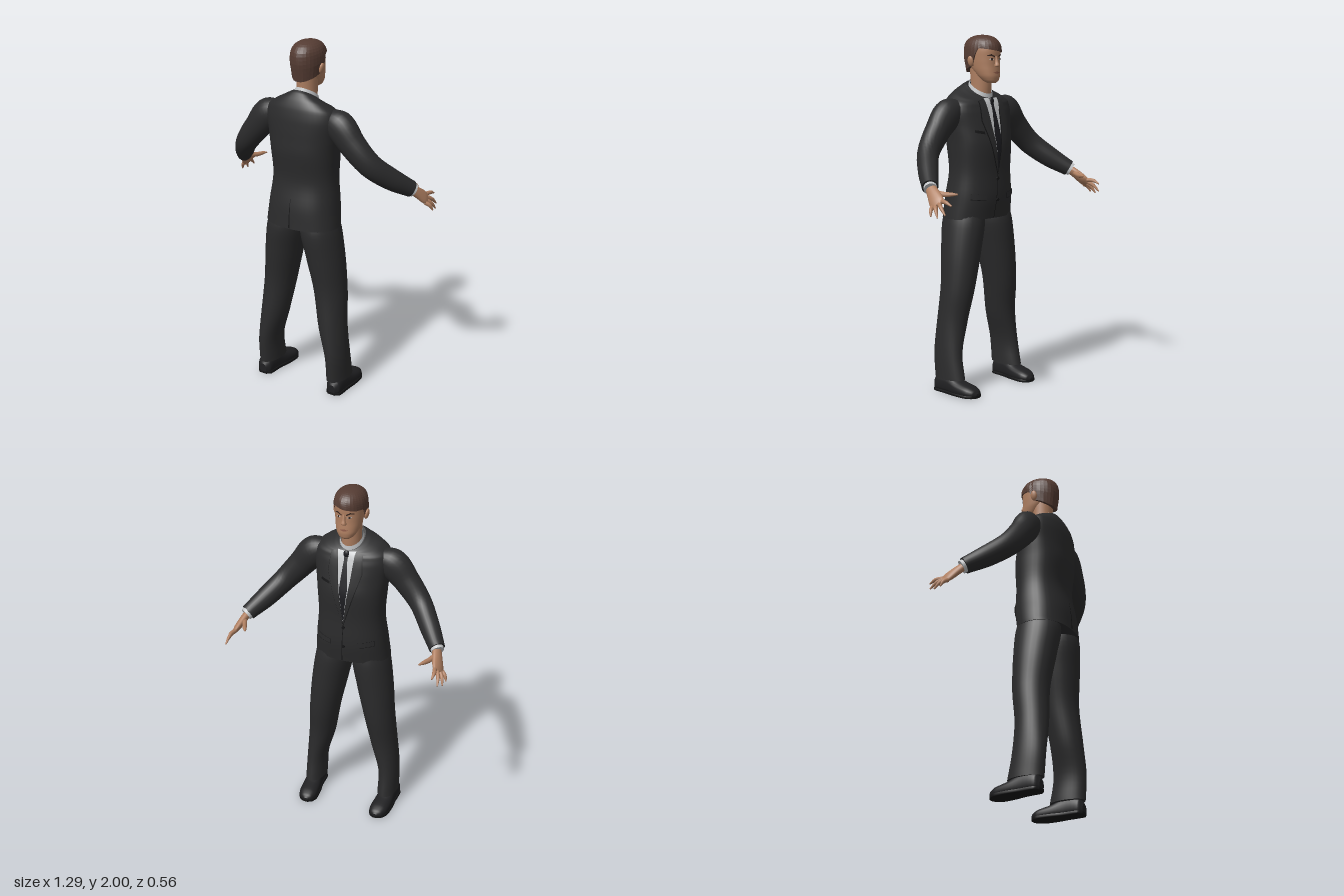
import * as THREE from 'three';

const V = (x, y, z) => new THREE.Vector3(x, y, z);
const mat = (name, color, extra = {}) => Object.assign(new THREE.MeshStandardMaterial({ color, ...extra }), { name });

// Closed skin through rings given by fn(angle, t); optional flat end caps
function skin(fn, seg, rows, caps = true) {
  const pos = [], idx = [];
  for (let i = 0; i <= rows; i++)
    for (let j = 0; j < seg; j++) pos.push(...fn((j / seg) * Math.PI * 2, i / rows).toArray());
  for (let i = 0; i < rows; i++)
    for (let j = 0; j < seg; j++) {
      const a = i * seg + j, b = i * seg + ((j + 1) % seg);
      idx.push(a, b, a + seg, b, b + seg, a + seg);
    }
  if (caps) for (const end of [0, 1]) {
    const start = pos.length / 3, c = V(0, 0, 0);
    for (let j = 0; j < seg; j++) {
      const p = fn((j / seg) * Math.PI * 2, end);
      c.addScaledVector(p, 1 / seg);
      pos.push(...p.toArray());
    }
    pos.push(...c.toArray());
    for (let j = 0; j < seg; j++) {
      const a = start + j, b = start + ((j + 1) % seg);
      idx.push(...(end ? [a, b] : [b, a]), start + seg);
    }
  }
  return build(pos, idx);
}

function build(pos, idx) {
  const g = new THREE.BufferGeometry();
  g.setAttribute('position', new THREE.Float32BufferAttribute(pos, 3));
  g.setIndex(idx);
  g.computeVertexNormals();
  return g;
}

// Smooth loft through points [x, y, z, radius along hint, other radius, tilt]
function loft(points, { hint = V(1, 0, 0), axis = null, seg = 24, rows = 28, power = 2, caps = true, post = null } = {}) {
  const path = new THREE.CatmullRomCurve3(points.map(p => V(p[0], p[1], p[2])));
  const radii = new THREE.CatmullRomCurve3(points.map(p => V(p[3], p[4], p[5] || 0)), false, 'catmullrom', 0.4);
  const bend = c => Math.sign(c) * Math.abs(c) ** (2 / power);
  return skin((ang, t) => {
    const T = axis || path.getTangent(t), r = radii.getPoint(t);
    const u = hint.clone().addScaledVector(T, -hint.dot(T)).normalize();
    const v = V(0, 0, 0).crossVectors(T, u);
    const p = path.getPoint(t).addScaledVector(u, bend(Math.cos(ang)) * r.x).addScaledVector(v, bend(Math.sin(ang)) * r.y);
    p.y -= r.z * bend(Math.sin(ang)) * r.y;
    if (post) post(p);
    return p;
  }, seg, rows, caps);
}

// Depth of a mesh's surface, looking from the face side (-1) or the back (1)
const ray = new THREE.Raycaster();
function depth(target, x, y, dir) {
  ray.set(V(x, y, dir * 2), V(0, 0, -dir));
  const hit = ray.intersectObject(target)[0];
  return hit ? hit.point.z : 0.03;
}

// Thin plate between two polylines of [x, y], wrapped onto a surface
function patch(target, A, B, off, s = 1, dir = -1) {
  const n = (A.length - 1) * 6, m = 4, pos = [], idx = [];
  const at = (L, t) => {
    const f = t * (L.length - 1), i = Math.min(Math.floor(f), L.length - 2);
    return [0, 1].map(k => L[i][k] + (L[i + 1][k] - L[i][k]) * (f - i));
  };
  for (let i = 0; i <= n; i++) for (let j = 0; j <= m; j++) {
    const a = at(A, i / n), b = at(B, i / n);
    const x = s * (a[0] + (b[0] - a[0]) * j / m), y = a[1] + (b[1] - a[1]) * j / m;
    pos.push(x, y, depth(target, x, y, dir) + dir * off);
    if (i < n && j < m) {
      const q = i * (m + 1) + j;
      idx.push(q, q + 1, q + m + 1, q + 1, q + m + 2, q + m + 1);
    }
  }
  return build(pos, idx);
}

export function createModel() {
  const root = new THREE.Group(), D = { side: THREE.DoubleSide };
  const suit = mat('suit', 0x2b2b2c, D), shoe = mat('shoeLeather', 0x202022), skinM = mat('skin', 0xb08062);
  const hairM = mat('hair', 0x553c33, { flatShading: true }), shirt = mat('shirt', 0xc4c6c8, D);
  const tieM = mat('tie', 0x1c1c20, D), seam = mat('seam', 0x151516, D), lip = mat('lips', 0x8f5c4a, D);
  const brow = mat('brow', 0x3a2922, D);
  const add = (name, geo, m) => {
    const mesh = new THREE.Mesh(geo, m);
    mesh.name = name;
    root.add(mesh);
    return mesh;
  };
  const up = V(0, 1, 0);

  // Jacket body
  const jacket = add('jacket', loft([
    [0, 0.985, 0.125, 0.216, 0.146], [0, 1.1, 0.112, 0.204, 0.151], [0, 1.25, 0.1, 0.189, 0.138],
    [0, 1.4, 0.105, 0.197, 0.149], [0, 1.5, 0.113, 0.208, 0.138], [0, 1.58, 0.119, 0.22, 0.126, 0.05],
    [0, 1.635, 0.12, 0.208, 0.113, 0.15], [0, 1.668, 0.115, 0.162, 0.1, 0.3],
    [0, 1.69, 0.105, 0.1, 0.086, 0.5], [0, 1.7, 0.1, 0.07, 0.075, 0.6]],
    { axis: up, seg: 40, rows: 45, power: 2.3 }), suit);

  // Shirt front, tie, front seam, buttons, back vent, breast pocket
  add('shirtFront', patch(jacket, [[-0.05, 1.65], [-0.035, 1.5], [-0.002, 1.25]], [[0.05, 1.65], [0.035, 1.5], [0.002, 1.25]], 0.004), shirt);
  add('tie', patch(jacket, [[-0.013, 1.648], [-0.01, 1.6], [-0.024, 1.45], [-0.002, 1.26]], [[0.013, 1.648], [0.01, 1.6], [0.024, 1.45], [0.002, 1.26]], 0.008), tieM);
  add('tieKnot', new THREE.SphereGeometry(0.018, 16, 10).scale(1, 1.2, 0.6).translate(0, 1.637, depth(jacket, 0, 1.637, -1) - 0.006), tieM);
  add('frontSeam', patch(jacket, [[-0.002, 1.24], [0.012, 0.99]], [[0.002, 1.24], [0.016, 0.99]], 0.003), seam);
  for (const y of [1.21, 1.09])
    add('button', new THREE.CylinderGeometry(0.009, 0.009, 0.008, 14).rotateX(Math.PI / 2).translate(0, y, depth(jacket, 0, y, -1) - 0.003), seam);
  add('backVent', patch(jacket, [[-0.001, 1.16], [-0.005, 0.99]], [[0.001, 1.16], [0.005, 0.99]], 0.003, 1, 1), seam);
  add('breastPocket', patch(jacket, [[0.085, 1.475], [0.085, 1.46]], [[0.14, 1.485], [0.14, 1.47]], 0.004), seam);

  // Shirt collar and neck
  add('shirtCollar', loft([[0, 1.67, 0.098, 0.07, 0.073, 0.6], [0, 1.695, 0.094, 0.066, 0.07, 0.6], [0, 1.717, 0.091, 0.061, 0.066, 0.6]],
    { axis: up, rows: 8, caps: false }), shirt);
  add('neck', loft([[0, 1.64, 0.095, 0.056, 0.06], [0, 1.72, 0.088, 0.055, 0.06], [0, 1.83, 0.09, 0.06, 0.065]], { axis: up, rows: 10 }), skinM);

  // Head
  const head = add('head', loft([
    [0, 1.737, 0.008, 0.022, 0.024], [0, 1.75, 0.014, 0.042, 0.043], [0, 1.78, 0.03, 0.06, 0.064],
    [0, 1.82, 0.052, 0.071, 0.083], [0, 1.87, 0.068, 0.078, 0.098], [0, 1.92, 0.075, 0.08, 0.106],
    [0, 1.96, 0.075, 0.07, 0.09], [0, 1.985, 0.075, 0.03, 0.04]], { axis: up, seg: 32, power: 2.2 }), skinM);
  add('nose', loft([[0, 1.825, -0.026, 0.013, 0.012], [0, 1.833, -0.034, 0.015, 0.016], [0, 1.855, -0.031, 0.009, 0.012], [0, 1.885, -0.026, 0.007, 0.008]],
    { axis: up, seg: 14, rows: 12 }), skinM);
  add('mouth', patch(head, [[-0.024, 1.796], [0, 1.802], [0.024, 1.796]], [[-0.024, 1.795], [0, 1.788], [0.024, 1.795]], 0.003), lip);

  // Hair cap: low at the nape, sideburns, fringe above the brow
  add('hair', skin((ang, t) => {
    const f = Math.sin(ang), c = Math.cos(ang);
    const low = f > 0.3 ? 1.915 + 0.015 * c : f > 0 ? 1.835 + 0.27 * f : 1.835 + 0.045 * f;
    const k = Math.max(0, (t - 0.08) / 0.92), y = low + (2 - low) * Math.sin(k * Math.PI / 2);
    const h = THREE.MathUtils.clamp((y - 1.9) / 0.1, 0, 0.999), lump = 1 + 0.015 * Math.sin(ang * 9 + k * 7) * (1 - k);
    const r = (1 - h ** 2.8) ** (1 / 2.3) * (1 - Math.max(0, 1.88 - y) * 1.5) * (t < 0.05 ? 0.86 : 1) * lump;
    return V(0.09 * r * c, y, 0.076 - 0.118 * r * f);
  }, 32, 14), hairM);

  for (const s of [-1, 1]) {
    const M = pts => pts.map(([x, ...rest]) => [x * s, ...rest]);
    // Lapel with dark edge, collar point and pocket flap
    add('lapelEdge', patch(jacket, [[0.048, 1.652], [0.036, 1.5], [0, 1.235]], [[0.091, 1.64], [0.099, 1.535], [0.004, 1.232]], 0.006, s), seam);
    add('lapel', patch(jacket, [[0.05, 1.652], [0.036, 1.5], [0, 1.24]], [[0.088, 1.64], [0.095, 1.535], [0.003, 1.238]], 0.01, s), suit);
    add('shirtCollarPoint', patch(jacket, [[0.006, 1.652], [0.034, 1.59]], [[0.052, 1.656], [0.04, 1.59]], 0.012, s), shirt);
    add('pocketFlapEdge', patch(jacket, [[0.08, 1.122], [0.08, 1.088]], [[0.165, 1.132], [0.165, 1.098]], 0.003, s), seam);
    add('pocketFlap', patch(jacket, [[0.08, 1.122], [0.08, 1.092]], [[0.165, 1.132], [0.165, 1.102]], 0.006, s), suit);

    // Eye, brow and ear
    add('eye', patch(head, [[0.018, 1.868], [0.03, 1.875], [0.044, 1.87]], [[0.018, 1.867], [0.03, 1.863], [0.044, 1.869]], 0.002, s), shirt);
    add('iris', patch(head, [[0.027, 1.875], [0.027, 1.863]], [[0.036, 1.875], [0.036, 1.863]], 0.004, s), brow);
    add('eyebrow', patch(head, [[0.012, 1.885], [0.035, 1.897], [0.054, 1.89]], [[0.012, 1.878], [0.035, 1.888], [0.054, 1.887]], 0.004, s), brow);
    add('ear', new THREE.SphereGeometry(1, 16, 12).scale(0.012, 0.03, 0.02).rotateZ(-0.2 * s).translate(0.088 * s, 1.857, 0.082), skinM);

    // Sleeve and shirt cuff
    add('sleeve', loft(M([[0.14, 1.615, 0.116, 0.04, 0.05], [0.225, 1.572, 0.12, 0.086, 0.072], [0.31, 1.477, 0.12, 0.075, 0.066],
      [0.4, 1.375, 0.093, 0.066, 0.06], [0.48, 1.29, 0.01, 0.06, 0.055], [0.555, 1.22, -0.085, 0.046, 0.044]]), { hint: up }), suit);
    add('cuff', loft(M([[0.54, 1.234, -0.066, 0.038, 0.036], [0.563, 1.211, -0.097, 0.038, 0.035]]), { hint: up, rows: 3 }), shirt);

    // Hand: palm, four spread fingers and a thumb
    const across = V(0.05 * s, -0.065, 0.1).normalize();
    add('palm', loft(M([[0.552, 1.222, -0.08, 0.028, 0.022], [0.57, 1.19, -0.125, 0.036, 0.021],
      [0.587, 1.158, -0.165, 0.043, 0.018], [0.598, 1.138, -0.19, 0.038, 0.011]]), { hint: across, seg: 20, rows: 14 }), skinM);
    const tips = [[0.59, 1.143, -0.282], [0.616, 1.095, -0.262], [0.633, 1.08, -0.223], [0.64, 1.083, -0.18]];
    tips.forEach((tip, i) => {
      const base = V(0.594 * s, 1.144, -0.18).addScaledVector(across, (i - 1.5) * 0.021);
      const end = V(tip[0] * s, tip[1], tip[2]), mid = base.clone().lerp(end, 0.5).add(V(0.005 * s, 0.007, 0));
      add('finger', loft([[...base.toArray(), 0.012, 0.012], [...mid.toArray(), 0.0105, 0.0105], [...end.toArray(), 0.004, 0.004]],
        { hint: across, seg: 10, rows: 8 }), skinM);
    });
    add('thumb', loft(M([[0.563, 1.198, -0.118, 0.016, 0.016], [0.537, 1.188, -0.175, 0.014, 0.013], [0.52, 1.19, -0.21, 0.011, 0.011], [0.504, 1.191, -0.24, 0.004, 0.004]]),
      { hint: up, seg: 10, rows: 9 }), skinM);

    // Trouser leg
    add('trouserLeg', loft(M([[0.23, 0.08, 0.11, 0.057, 0.106], [0.227, 0.22, 0.128, 0.058, 0.098], [0.195, 0.4, 0.127, 0.077, 0.095],
      [0.168, 0.6, 0.108, 0.09, 0.105], [0.137, 0.8, 0.113, 0.104, 0.122], [0.111, 0.95, 0.12, 0.109, 0.132], [0.1, 1.05, 0.12, 0.095, 0.115]]),
      { axis: up, seg: 28 }), suit);

    // Shoe and sole share one outline
    const last = M([[0.237, 0.03, 0.208, 0.022, 0.03], [0.237, 0.04, 0.185, 0.044, 0.055], [0.235, 0.045, 0.1, 0.046, 0.062],
      [0.23, 0.032, 0.02, 0.054, 0.045], [0.225, 0.025, -0.05, 0.053, 0.036], [0.222, 0.02, -0.088, 0.036, 0.024], [0.221, 0.016, -0.102, 0.012, 0.01]]);
    const opts = { axis: V(0, 0, -1), rows: 24 };
    add('shoe', loft(last, { ...opts, power: 2.3, post: p => { p.y = Math.max(p.y, 0.012); } }), shoe);
    add('sole', loft(last.map(p => [p[0], 0.007, p[2], p[3] * 1.07, 0.03]),
      { ...opts, power: 4, post: p => { p.y = THREE.MathUtils.clamp(p.y, 0, 0.015); } }), seam);
  }
  return root;
}
